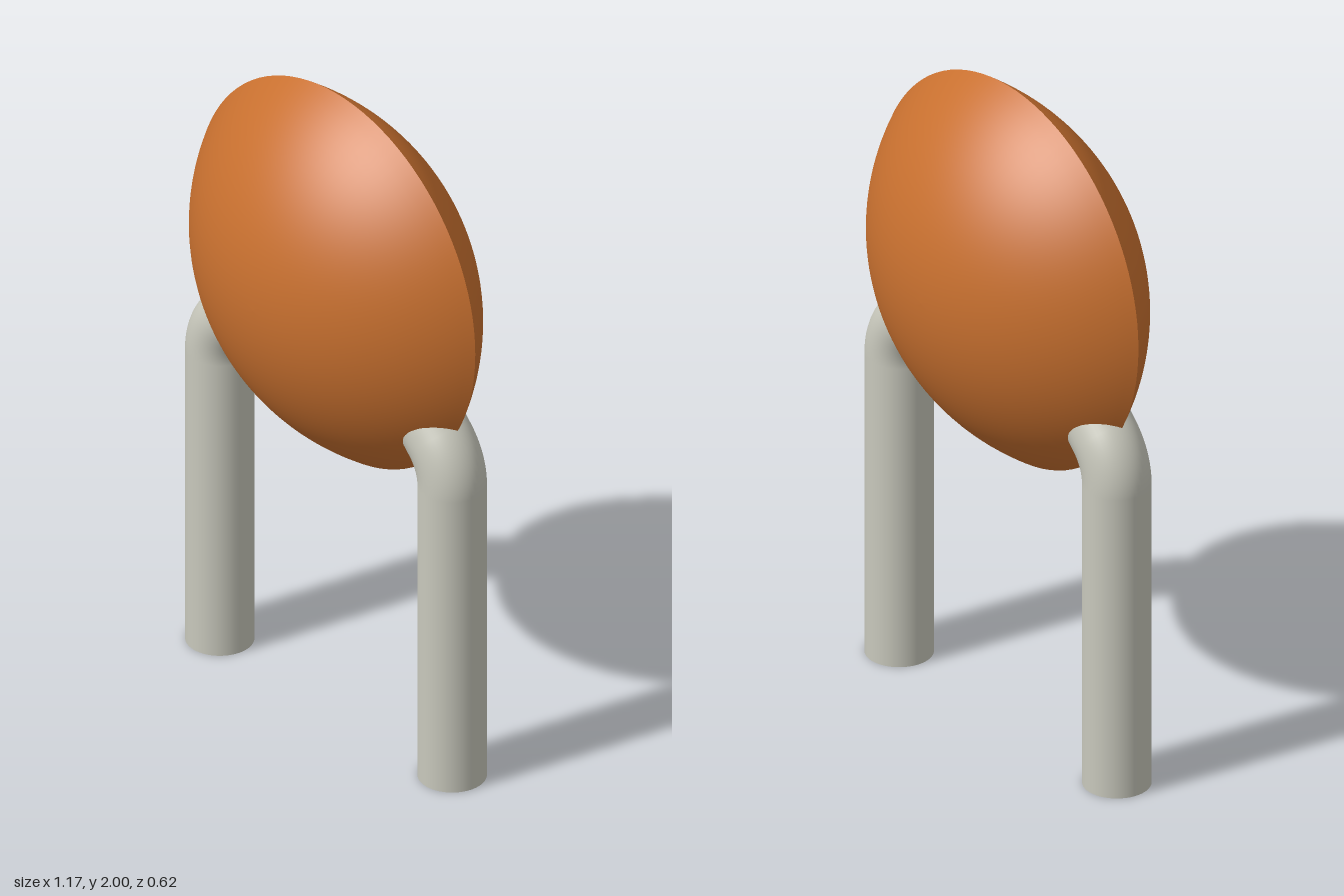
import * as THREE from 'three';

const RIM = 0.585, BULGE = 0.31, DISC_Y = 1.415; // lens-shaped body
const LEG_R = 0.097, LEG_X = 0.488, LEG_H = 0.945; // tubular legs
const BEND_R = 0.178, BEND = Math.PI / 4, NECK = 0.12;

function mesh(name, geometry, material) {
  const m = new THREE.Mesh(geometry, material);
  m.name = name;
  return m;
}

// One half of the lens: a spherical cap that bulges towards +z
function capGeometry() {
  const radius = (RIM * RIM + BULGE * BULGE) / (2 * BULGE);
  const half = Math.asin(RIM / radius);
  const profile = [];
  for (let i = 0; i <= 24; i++) {
    const a = half * (1 - i / 24);
    profile.push(new THREE.Vector2(radius * Math.sin(a), radius * Math.cos(a) - radius + BULGE));
  }
  return new THREE.LatheGeometry(profile, 96).rotateX(Math.PI / 2);
}

// Upright tube, elbow and a short neck that runs into the body
function makeLeg(name, material) {
  const leg = new THREE.Group();
  leg.name = name;

  const post = mesh('post', new THREE.CylinderGeometry(LEG_R, LEG_R, LEG_H, 48), material);
  post.position.set(LEG_X, LEG_H / 2, 0);

  const elbow = mesh('elbow', new THREE.TorusGeometry(BEND_R, LEG_R, 48, 20, BEND), material);
  elbow.position.set(LEG_X - BEND_R, LEG_H, 0);

  const neck = mesh('neck', new THREE.CylinderGeometry(LEG_R, LEG_R, NECK, 48), material);
  neck.rotation.z = BEND;
  neck.position.set(
    LEG_X - BEND_R + BEND_R * Math.cos(BEND) - Math.sin(BEND) * NECK / 2,
    LEG_H + BEND_R * Math.sin(BEND) + Math.cos(BEND) * NECK / 2,
    0
  );

  leg.add(post, elbow, neck);
  return leg;
}

export function createModel() {
  const orange = new THREE.MeshStandardMaterial({ color: 0xc8702f });
  const stone = new THREE.MeshStandardMaterial({ color: 0xc8c8bc });
  const model = new THREE.Group();
  model.name = 'lensOnLegs';

  // Body: two caps meeting at a sharp rim
  const body = new THREE.Group();
  body.name = 'body';
  body.position.y = DISC_Y;
  const front = mesh('frontShell', capGeometry(), orange);
  const back = mesh('backShell', capGeometry(), orange);
  back.rotation.y = Math.PI;
  body.add(front, back);

  // Legs, one turned to the other side
  const leftLeg = makeLeg('leftLeg', stone);
  const rightLeg = makeLeg('rightLeg', stone);
  rightLeg.rotation.y = Math.PI;

  model.add(body, leftLeg, rightLeg);
  return model;
}
